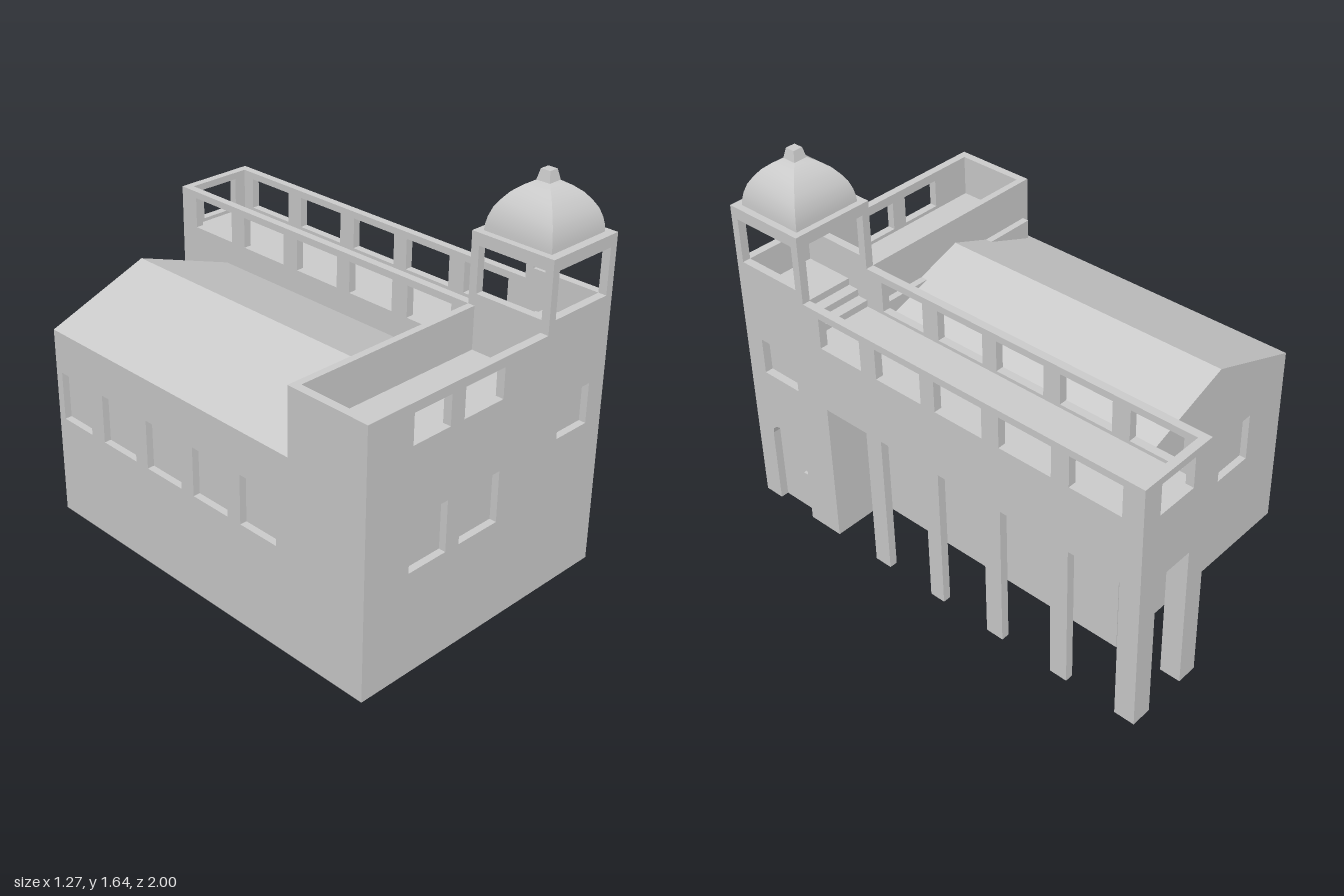
import * as THREE from 'three';
import { toCreasedNormals } from 'three/addons/utils/BufferGeometryUtils.js';

const material = new THREE.MeshStandardMaterial({ color: 0xcccccc });
const T = 0.035; // wall thickness

export function createModel() {
  const model = new THREE.Group();

  const add = (name, geometry, x = 0, y = 0, z = 0) => {
    const mesh = new THREE.Mesh(geometry, material);
    mesh.name = name;
    mesh.position.set(x, y, z);
    model.add(mesh);
    return mesh;
  };

  // Box given by its limits on each axis
  const box = (name, [x0, x1], [y0, y1], [z0, z1]) =>
    add(name, new THREE.BoxGeometry(x1 - x0, y1 - y0, z1 - z0),
      (x0 + x1) / 2, (y0 + y1) / 2, (z0 + z1) / 2);

  // Outline with rectangular holes [u0, u1, v0, v1], extruded
  const extrude = (outline, holes, depth) => {
    const shape = new THREE.Shape(outline.map(p => new THREE.Vector2(...p)));
    for (const [a, b, c, d] of holes) {
      shape.holes.push(new THREE.Path([[a, c], [a, d], [b, d], [b, c]].map(p => new THREE.Vector2(...p))));
    }
    return new THREE.ExtrudeGeometry(shape, { depth, bevelEnabled: false });
  };

  // Wall across x, from z to z + depth
  const wallAcross = (name, z, outline, holes = [], depth = T) =>
    add(name, extrude(outline, holes, depth), 0, 0, z);

  // Wall along z, from x - T to x
  const wallAlong = (name, x, outline, holes = []) => {
    const mesh = add(name, extrude(outline, holes, T), x);
    mesh.rotation.y = -Math.PI / 2;
    return mesh;
  };

  const bays = [[-0.91, -0.68], [-0.60, -0.36], [-0.28, -0.05], [0.02, 0.25], [0.33, 0.55]];
  const bayWindows = bays.map(([a, b]) => [a, b, 0.945, 1.08]);
  const towerOpening = [0.665, 0.965, 1.16, 1.35];
  const pairWindows = [[-0.42, -0.23, 0.435, 0.65], [-0.16, 0.045, 0.435, 0.65]];

  // Front wall of the block and tower
  wallAcross('frontWall', 1 - T,
    [[-0.64, 0], [0.635, 0], [0.635, 1.4], [0.27, 1.4], [0.27, 1.11], [-0.64, 1.11]],
    [...pairWindows, [-0.42, -0.235, 0.945, 1.07], [-0.165, 0.04, 0.945, 1.07],
      [0.37, 0.545, 0.65, 0.82], [0.305, 0.6, 1.16, 1.35]]);

  // Arcade and tower side wall, with pillars and an arched doorway
  wallAlong('arcadeOuterWall', 0.635, [
    [-1, 0],
    ...bays.flatMap(([a, b]) => [[a, 0], [a, 0.65], [b, 0.65], [b, 0]]),
    [0.715, 0], [0.715, 0.35], [0.722, 0.377], [0.74, 0.393], [0.77, 0.4],
    [0.855, 0.4], [0.885, 0.393], [0.903, 0.377], [0.91, 0.35], [0.91, 0],
    [1, 0], [1, 1.4], [0.63, 1.4], [0.63, 1.11], [-1, 1.11],
  ], [...bayWindows, towerOpening, [0.715, 0.91, 0.66, 0.82]]);
  box('doorHandle', [0.595, 0.615], [0.193, 0.203], [0.73, 0.765]);

  // Inner and end walls of the arcade
  wallAlong('arcadeInnerWall', 0.27 + T,
    [[-1, 0], [-0.91, 0], [-0.91, 0.65], [0.63, 0.65], [0.63, 1.11], [-1, 1.11]], bayWindows);
  wallAcross('arcadeEndWall', -1,
    [[0.27, 0], [0.36, 0], [0.36, 0.65], [0.545, 0.65], [0.545, 0], [0.635, 0], [0.635, 1.11], [0.27, 1.11]],
    [[0.36, 0.545, 0.945, 1.08]]);
  for (const x of [0.27, 0.545]) box('cornerPillar', [x, x + 0.09], [0, 0.65], [-1, -0.91]);
  box('arcadeDeck', [0.28, 0.62], [0.65, 0.93], [-0.99, 0.63]);

  // Tower: solid base, steps, remaining walls and ceiling
  box('towerBase', [0.27, 0.6], [0, 0.93], [0.55, 0.97]);
  for (let i = 0; i < 3; i++) {
    box('towerStep', [0.3, 0.605], [0.92, 0.96 + i * 0.03], [0.64 + i * 0.05, 0.97]);
  }
  wallAlong('towerInnerWall', 0.27 + T, [[0.63, 0.65], [1, 0.65], [1, 1.4], [0.63, 1.4]], [towerOpening]);
  wallAcross('towerBackFrame', 0.63,
    [[0.27, 0.65], [0.305, 0.65], [0.305, 1.35], [0.6, 1.35], [0.6, 0.65], [0.635, 0.65], [0.635, 1.4], [0.27, 1.4]]);
  box('towerCeiling', [0.28, 0.625], [1.35, 1.399], [0.64, 0.99]);

  // Four-sided dome, curved upward and creased at its corners
  const profile = [[0.153, 1.4], [0.151, 1.425], [0.145, 1.455], [0.133, 1.49], [0.115, 1.52],
    [0.092, 1.55], [0.062, 1.575], [0.03, 1.595], [0, 1.6]];
  const dome = new THREE.LatheGeometry(
    profile.map(([r, y]) => new THREE.Vector2(r * Math.SQRT2, y)), 4, Math.PI / 4);
  add('dome', toCreasedNormals(dome.toNonIndexed(), 0.7), 0.4525, 0, 0.812);
  const lantern = new THREE.CylinderGeometry(0.021 * Math.SQRT2, 0.031 * Math.SQRT2, 0.045, 4, 1, false, Math.PI / 4);
  add('domeLantern', toCreasedNormals(lantern.toNonIndexed(), 0.5), 0.4525, 1.6145, 0.812);

  // Front block body and the parapet behind it
  box('frontBlockBody', [-0.61, 0.27], [0, 0.93], [0.6, 0.97]);
  box('frontBlockBackParapet', [-0.63, 0.28], [0.6, 1.11], [0.63, 0.66]);

  // Hall: left wall with windows, back gable, body with pitched roof
  const sideWindows = [[-0.68, -0.5], [-0.42, -0.22], [-0.15, 0.05], [0.12, 0.31], [0.38, 0.57]];
  wallAlong('hallLeftWall', -0.64 + T,
    [[-0.71, 0], [1, 0], [1, 1.11], [0.63, 1.11], [0.63, 0.82], [-0.71, 0.82]],
    sideWindows.map(([a, b]) => [a, b, 0.44, 0.65]));
  const gableRight = [[0.38, 0], [0.38, 0.65], [0.27, 0.65], [0.27, 0.84], [-0.19, 1.0], [-0.64, 0.83]];
  wallAcross('hallBackGable', -0.715, [[-0.64, 0], ...gableRight], pairWindows, 0.03);
  wallAcross('hallBody', -0.685,
    [[-0.61, 0], ...gableRight, [-0.64, 0.81], [-0.61, 0.81]], [], 1.32);

  return model;
}
